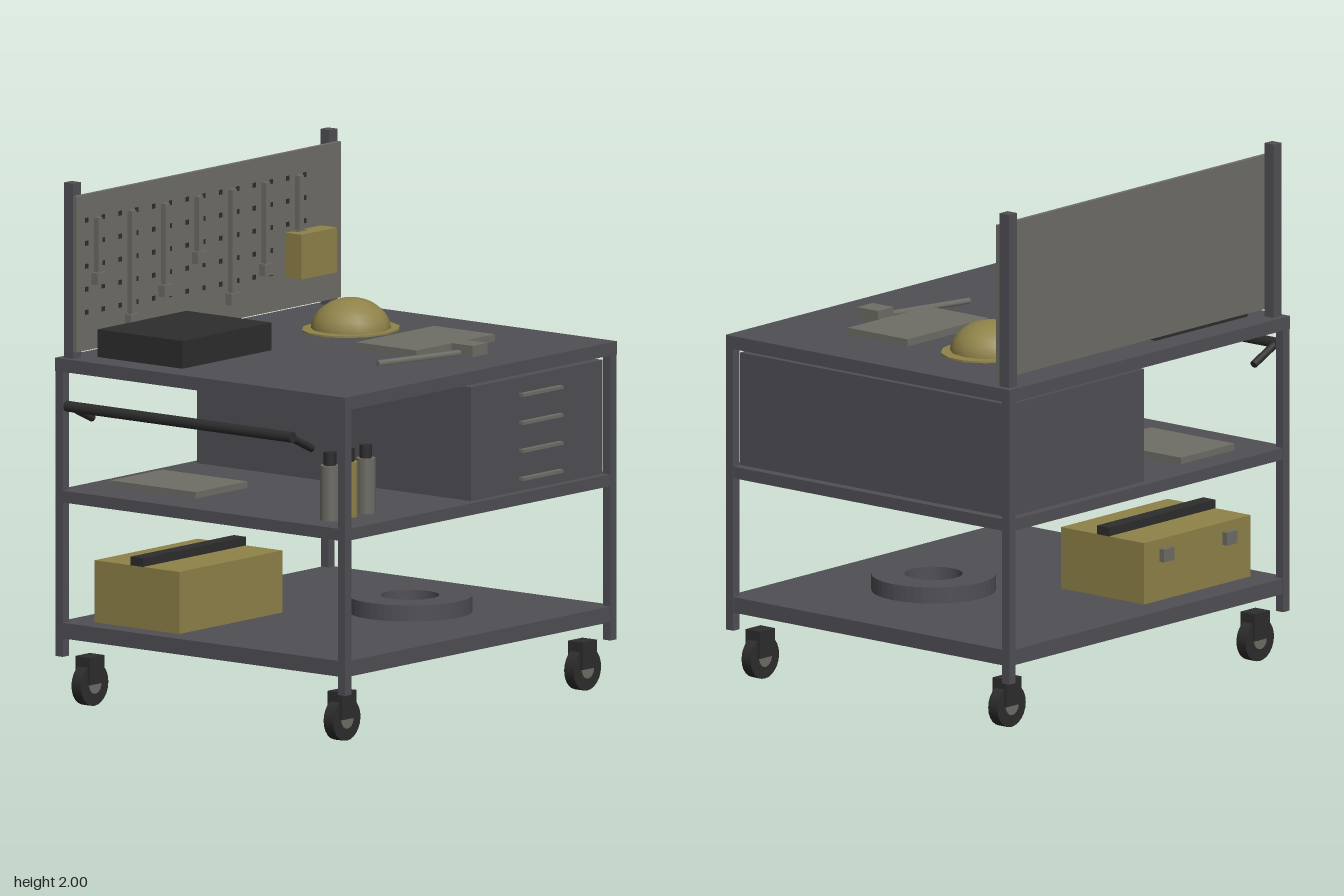
import * as THREE from 'three';

const mat = (name, color) => {
  const m = new THREE.MeshStandardMaterial({ color });
  m.name = name;
  return m;
};

export function createModel() {
  const steel = mat('dark steel', 0x504f55);
  const grey = mat('warm grey', 0x6e6d66);
  const yellow = mat('ochre yellow', 0x8f8249);
  const black = mat('black', 0x2d2d2e);

  const model = new THREE.Group();
  model.name = 'workshopCart';

  const add = (name, geo, material, x = 0, y = 0, z = 0, parent = model) => {
    const mesh = new THREE.Mesh(geo, material);
    mesh.name = name;
    mesh.position.set(x, y, z);
    parent.add(mesh);
    return mesh;
  };
  // Box given by its limits on each axis
  const box = (name, m, x0, x1, y0, y1, z0, z1, parent) =>
    add(name, new THREE.BoxGeometry(x1 - x0, y1 - y0, z1 - z0), m,
      (x0 + x1) / 2, (y0 + y1) / 2, (z0 + z1) / 2, parent);
  // Round rod between two points
  const rod = (name, m, a, b, r, sides = 8, parent) => {
    const p = new THREE.Vector3(...a), q = new THREE.Vector3(...b);
    const d = q.clone().sub(p);
    const mid = p.clone().add(q).multiplyScalar(0.5);
    const mesh = add(name, new THREE.CylinderGeometry(r, r, d.length(), sides), m, mid.x, mid.y, mid.z, parent);
    mesh.quaternion.setFromUnitVectors(new THREE.Vector3(0, 1, 0), d.normalize());
    return mesh;
  };

  // Frame: corner posts, worktop and two shelves
  for (const x of [-0.74, 0.843])
    for (const z of [-0.703, 0.668])
      box('cornerPost', steel, x, x + 0.037, 0.19, 1.328, z, z + 0.035);
  box('worktop', steel, -0.742, 0.88, 1.28, 1.33, -0.705, 0.705);
  box('middleShelf', steel, -0.738, 0.878, 0.78, 0.825, -0.701, 0.701);
  box('bottomShelf', steel, -0.738, 0.878, 0.26, 0.32, -0.701, 0.701);

  // Casters
  for (const x of [-0.65, 0.785])
    for (const z of [-0.61, 0.615]) {
      const caster = new THREE.Group();
      caster.name = 'caster';
      caster.position.set(x, 0, z);
      model.add(caster);
      box('casterFork', black, -0.043, 0.043, 0.085, 0.19, -0.036, 0.036, caster);
      add('wheel', new THREE.CylinderGeometry(0.082, 0.082, 0.046, 24), black, 0, 0.082, 0, caster).rotation.x = Math.PI / 2;
      add('wheelHub', new THREE.CylinderGeometry(0.036, 0.036, 0.054, 16), grey, 0, 0.082, 0, caster).rotation.x = Math.PI / 2;
    }

  // Drawer cabinet with four pulls
  box('drawerCabinet', steel, 0.055, 0.84, 0.825, 1.26, -0.664, 0.668);
  for (let i = 0; i < 4; i++) {
    const y = 1.193 - i * 0.107;
    box('drawerPull', grey, 0.34, 0.58, y - 0.006, y + 0.006, 0.668, 0.69);
  }

  // Push handle on the side
  rod('pushBar', black, [-0.862, 1.178, -0.55], [-0.862, 1.178, 0.55], 0.021);
  for (const z of [-0.533, 0.533])
    rod('pushBarBracket', black, [-0.862, 1.178, z], [-0.73, 1.117, z], 0.015);

  // Pegboard on two uprights
  for (const x of [-0.72, 0.81])
    box('pegboardUpright', steel, x, x + 0.045, 1.33, 2, -0.68, -0.634);
  box('pegboard', grey, -0.72, 0.857, 1.357, 1.953, -0.634, -0.617);
  for (let i = 0; i < 14; i++)
    for (let j = 0; j < 5; j++) {
      const x = -0.662 + i * 0.1, y = 1.855 - j * 0.088;
      box('pegHole', black, x - 0.009, x + 0.009, y - 0.009, y + 0.009, -0.618, -0.615);
    }

  // Hanging tools in three repeating lengths
  const lengths = [0.255, 0.44, 0.355];
  for (let i = 0; i < 7; i++) {
    const x = -0.605 + i * 0.2, end = 1.86 - lengths[i % 3];
    box('toolShaft', grey, x - 0.013, x + 0.013, end + 0.04, 1.86, -0.617, -0.595);
    box('toolHead', grey, x - 0.027, x + 0.027, end, end + 0.045, -0.617, -0.588);
  }
  box('pegboardBin', yellow, 0.527, 0.738, 1.477, 1.648, -0.617, -0.54);

  // Items on the worktop
  box('blackCase', black, -0.628, -0.098, 1.33, 1.436, -0.59, -0.178);
  box('manual', grey, 0.116, 0.583, 1.33, 1.358, 0.058, 0.353);
  box('hammerHead', grey, 0.26, 0.35, 1.33, 1.373, 0.405, 0.508);
  rod('hammerHandle', grey, [-0.115, 1.338, 0.352], [0.27, 1.338, 0.443], 0.014, 6);

  // Hard hat
  add('hatDome', new THREE.SphereGeometry(0.152, 14, 8, 0, Math.PI * 2, 0, Math.PI / 2),
    yellow, 0.446, 1.331, -0.235).scale.y = 0.8;
  add('hatBrim', new THREE.CylinderGeometry(0.2, 0.2, 0.012, 14), yellow, 0.446, 1.331, -0.235).scale.z = 0.89;

  // Bottles and a flat pad on the middle shelf
  [grey, yellow, grey].forEach((m, i) => {
    const x = -0.605 + i * 0.107;
    add('bottle', new THREE.CylinderGeometry(0.038, 0.038, 0.21, 8), m, x, 0.93, 0.52);
    add('bottleCap', new THREE.CylinderGeometry(0.024, 0.024, 0.05, 8), black, x, 1.06, 0.52);
  });
  box('flatPad', grey, -0.56, -0.25, 0.825, 0.85, -0.585, -0.17);

  // Toolbox with top grip and rear latches
  box('toolbox', yellow, -0.653, -0.037, 0.32, 0.557, -0.585, -0.173);
  box('toolboxGrip', black, -0.653, -0.037, 0.557, 0.59, -0.41, -0.35);
  for (const x of [-0.52, -0.155])
    box('toolboxLatch', grey, x - 0.03, x + 0.03, 0.47, 0.52, -0.608, -0.585);

  // Coiled ring on the bottom shelf
  const ring = new THREE.Shape().absarc(0, 0, 0.235, 0, Math.PI * 2);
  ring.holes.push(new THREE.Path().absarc(0, 0, 0.11, 0, Math.PI * 2, true));
  add('ring', new THREE.ExtrudeGeometry(ring, { depth: 0.062, bevelEnabled: false, curveSegments: 24 }),
    steel, 0.29, 0.32, 0.18).rotation.x = -Math.PI / 2;

  return model;
}
